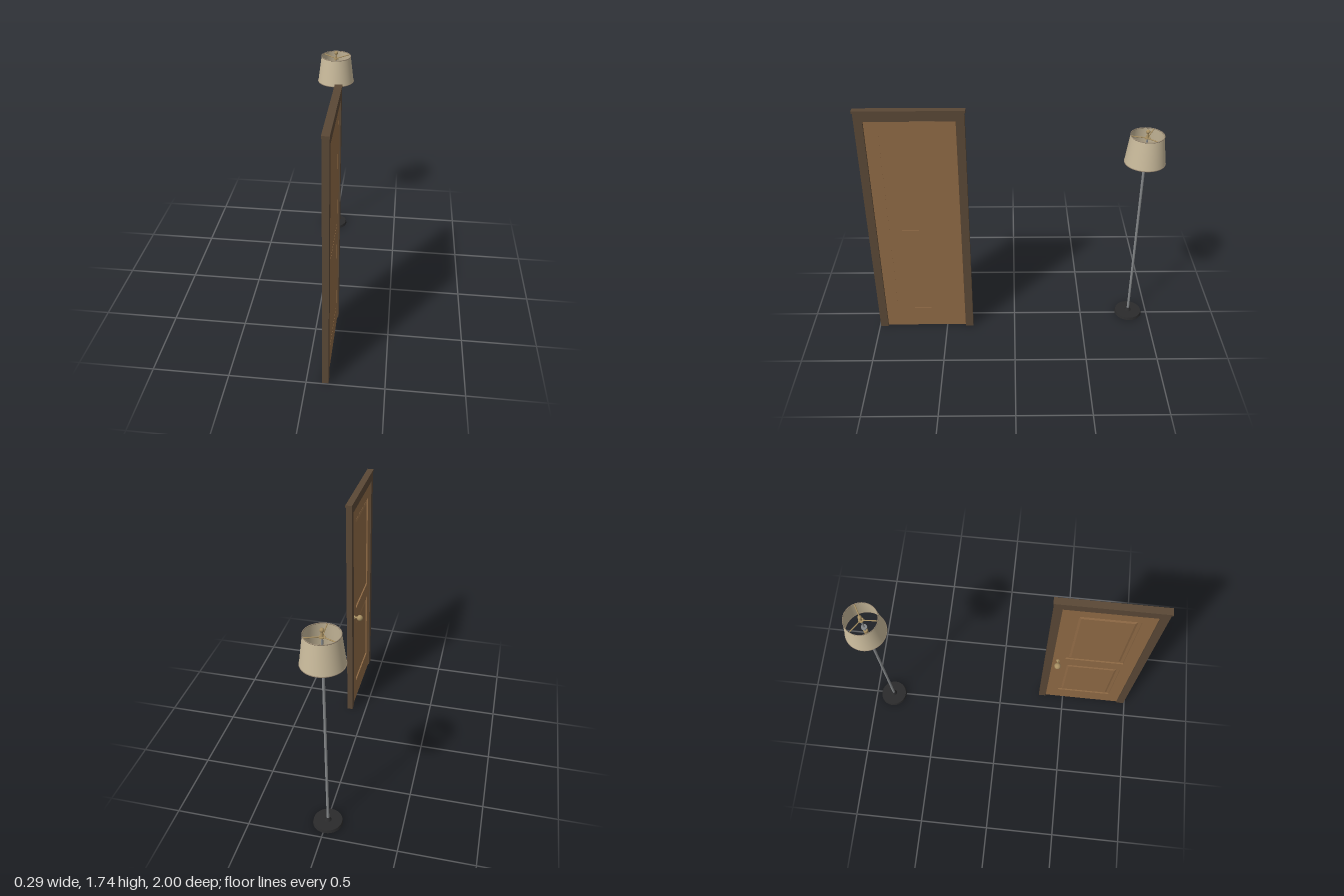
import * as THREE from 'three';

const mat = (name, color, side = THREE.FrontSide) => {
  const m = new THREE.MeshStandardMaterial({ color, side });
  m.name = name;
  return m;
};

export function createModel() {
  const frameWood = mat('dark frame wood', 0x5a4836);
  const doorWood = mat('door wood', 0x8f6a45);
  const brass = mat('aged brass', 0xa89063);
  const steel = mat('brushed steel', 0x85888a);
  const black = mat('black iron', 0x2b2b2c);
  const linen = mat('linen', 0xcabb9c, THREE.DoubleSide);
  const trim = mat('shade trim', 0x9a8a74);

  const model = new THREE.Group();
  const door = new THREE.Group();
  door.name = 'door';
  const lamp = new THREE.Group();
  lamp.name = 'floorLamp';
  lamp.position.set(-0.008, 0, -0.863);
  model.add(door, lamp);

  const add = (parent, name, geometry, material, x = 0, y = 0, z = 0) => {
    const mesh = new THREE.Mesh(geometry, material);
    mesh.name = name;
    mesh.position.set(x, y, z);
    parent.add(mesh);
    return mesh;
  };
  // Box given by its limits on each axis
  const block = (name, material, [x0, x1], [y0, y1], [z0, z1]) =>
    add(door, name, new THREE.BoxGeometry(x1 - x0, y1 - y0, z1 - z0), material,
      (x0 + x1) / 2, (y0 + y1) / 2, (z0 + z1) / 2);
  const rod = (name, rTop, rBottom, y0, y1, material, sides = 24) =>
    add(lamp, name, new THREE.CylinderGeometry(rTop, rBottom, y1 - y0, sides), material, 0, (y0 + y1) / 2);

  // Door frame
  const frameX = [0.102, 0.143];
  block('jambNear', frameWood, frameX, [0, 1.727], [0.938, 0.993]);
  block('jambFar', frameWood, frameX, [0, 1.727], [0.308, 0.362]);
  block('header', frameWood, frameX, [1.672, 1.727], [0.362, 0.938]);
  block('cornice', frameWood, [0.099, 0.145], [1.727, 1.743], [0.302, 1.0]);

  // Door leaf: stiles, rails and panels
  const leafX = [0.108, 0.136];
  block('stileNear', doorWood, leafX, [0.01, 1.668], [0.85, 0.936]);
  block('stileFar', doorWood, leafX, [0.01, 1.668], [0.364, 0.45]);
  for (const [y0, y1] of [[0.01, 0.175], [0.74, 0.855], [1.58, 1.668]])
    block('rail', doorWood, leafX, [y0, y1], [0.45, 0.85]);

  // Bevelled field raised towards -x
  const raisedField = (y0, y1, z0, z1) => {
    const bevel = 0.014;
    const s = new THREE.Shape();
    s.moveTo(z0 + bevel, y0 + bevel);
    s.lineTo(z1 - bevel, y0 + bevel);
    s.lineTo(z1 - bevel, y1 - bevel);
    s.lineTo(z0 + bevel, y1 - bevel);
    s.closePath();
    const g = new THREE.ExtrudeGeometry(s, {
      depth: 0.001, bevelThickness: 0.006, bevelSize: bevel, bevelSegments: 1,
    });
    return g.rotateY(-Math.PI / 2);
  };
  for (const [y0, y1] of [[0.175, 0.74], [0.855, 1.58]]) {
    block('panel', doorWood, [0.118, 0.135], [y0, y1], [0.45, 0.85]);
    add(door, 'raisedField', raisedField(y0 + 0.022, y1 - 0.022, 0.472, 0.828), doorWood, 0.118);
  }

  // Door knob
  const turned = (r, x0, x1, name) => {
    const m = add(door, name, new THREE.CylinderGeometry(r, r, x1 - x0, 24), brass, (x0 + x1) / 2, 0.812, 0.4);
    m.rotation.z = Math.PI / 2;
  };
  turned(0.014, 0.102, 0.108, 'knobRosette');
  turned(0.007, 0.07, 0.104, 'knobStem');
  add(door, 'knob', new THREE.SphereGeometry(0.023, 24, 16), brass, 0.065, 0.812, 0.4);

  // Lamp stand
  rod('base', 0.095, 0.1, 0, 0.02, black, 48);
  rod('baseHub', 0.012, 0.024, 0.02, 0.042, black);
  rod('pole', 0.009, 0.009, 0.04, 1.27, steel);
  rod('socketCollar', 0.012, 0.012, 1.265, 1.285, brass);
  rod('socket', 0.015, 0.015, 1.285, 1.325, brass);
  rod('innerRod', 0.006, 0.006, 1.32, 1.48, steel, 16);
  rod('innerCollar', 0.02, 0.02, 1.365, 1.373, steel);

  // Shade with rim bands and a stitched seam
  const rBottom = 0.135, rTop = 0.11, yBottom = 1.302, yTop = 1.497;
  add(lamp, 'shade', new THREE.CylinderGeometry(rTop, rBottom, yTop - yBottom, 64, 1, true),
    linen, 0, (yBottom + yTop) / 2);
  for (const [r, y] of [[rTop, yTop], [rBottom, yBottom]]) {
    const ring = new THREE.TorusGeometry(r, 0.0025, 8, 64).rotateX(Math.PI / 2).scale(1, 1.4, 1);
    add(lamp, 'shadeBand', ring, trim, 0, y);
  }
  add(lamp, 'shadeSeam',
    new THREE.CylinderGeometry(rTop + 0.001, rBottom + 0.001, yTop - yBottom, 2, 1, true, -0.41, 0.07),
    linen, 0, (yBottom + yTop) / 2);

  // Three-armed spider and finial
  rod('spiderHub', 0.018, 0.018, 1.474, 1.482, brass);
  for (let i = 0; i < 3; i++) {
    const a = i * Math.PI * 2 / 3;
    const path = new THREE.LineCurve3(
      new THREE.Vector3(0, 1.478, 0),
      new THREE.Vector3(Math.sin(a) * 0.109, 1.492, Math.cos(a) * 0.109));
    add(lamp, 'spiderArm', new THREE.TubeGeometry(path, 1, 0.004, 8), brass);
  }
  rod('finialNeck', 0.006, 0.008, 1.48, 1.515, brass, 16);
  add(lamp, 'finial', new THREE.SphereGeometry(0.0135, 20, 14), brass, 0, 1.522);

  return model;
}
